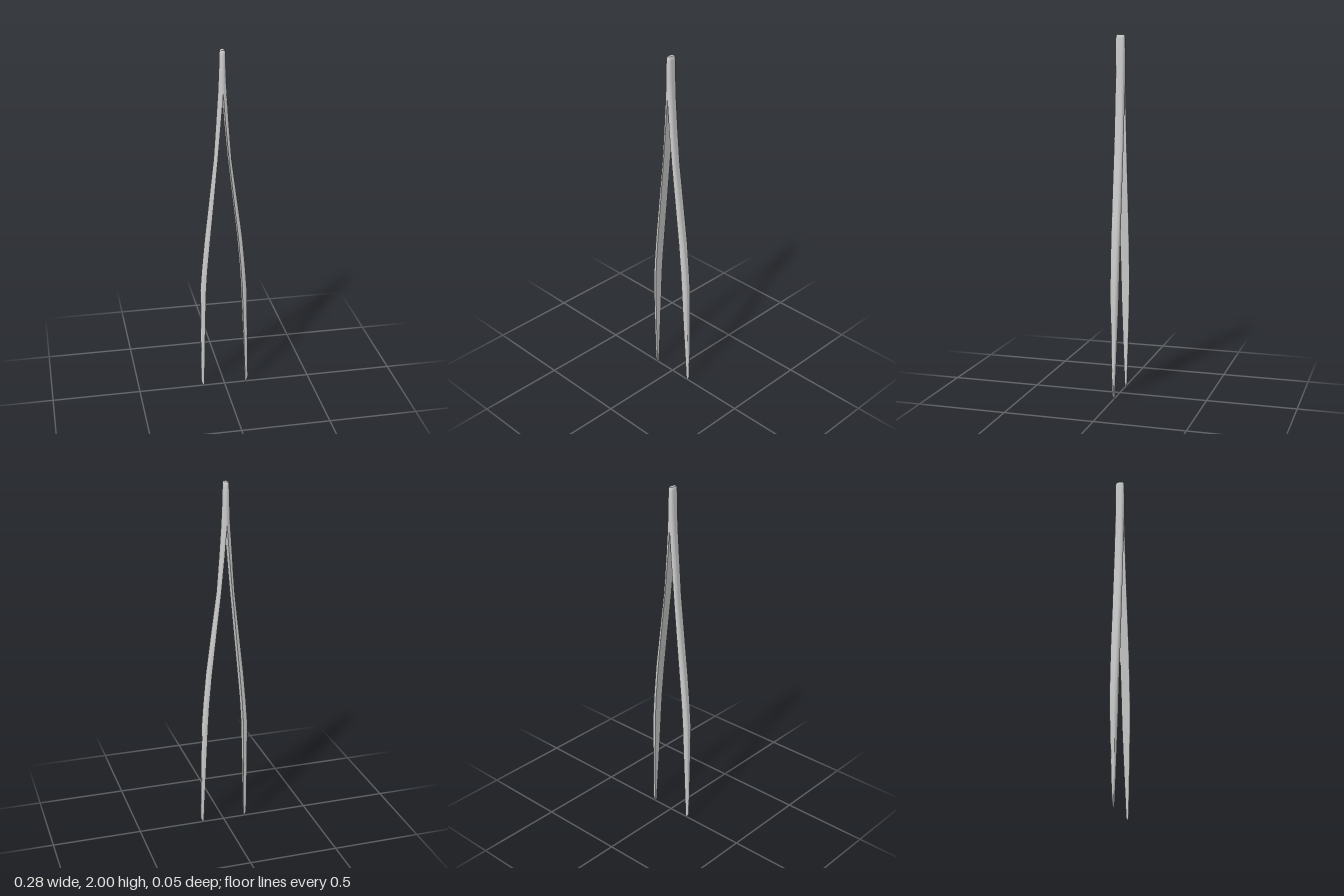
import * as THREE from 'three';
import { toCreasedNormals } from 'three/addons/utils/BufferGeometryUtils.js';

// One arm, tip to top: [y, inner offset, outer offset, half depth, centre drift]
const rows = [
  [0.0, 0.122, 0.134, 0.004, 0],
  [0.015, 0.121, 0.139, 0.006, 0],
  [0.15, 0.118, 0.138, 0.011, -0.001],
  [0.3, 0.114, 0.137, 0.016, -0.003],
  [0.5, 0.108, 0.135, 0.022, -0.005],
  [0.62, 0.104, 0.133, 0.024, -0.006],
  [0.75, 0.096, 0.123, 0.025, -0.006],
  [0.93, 0.08, 0.106, 0.026, -0.006],
  [1.15, 0.057, 0.079, 0.026, -0.008],
  [1.4, 0.031, 0.048, 0.026, -0.011],
  [1.6, 0.013, 0.034, 0.026, -0.012],
  [1.77, 0, 0.023, 0.026, -0.012],
  [1.88, 0, 0.018, 0.026, -0.012],
  [1.98, 0, 0.015, 0.026, -0.012],
  [1.994, 0, 0.0135, 0.0245, -0.012],
  [2.0, 0, 0.01, 0.021, -0.012],
];
const STEPS = 14;

// Loft a D-shaped section (flat inside, rounded outside) along the rows
function armGeometry(side) {
  const n = STEPS + 1, pos = [], idx = [];
  const tri = (a, b, c) => (side > 0 ? idx.push(a, b, c) : idx.push(a, c, b));
  rows.forEach(([y, inner, outer, depth, drift], j) => {
    for (let i = 0; i < n; i++) {
      const a = Math.PI * (i / STEPS - 0.5);
      const c = Math.pow(Math.max(Math.cos(a), 0), 0.7);
      const s = Math.sign(a) * Math.pow(Math.abs(Math.sin(a)), 0.7);
      // the tip is cut at a slant, lowest on the inside
      const slant = j < 2 ? 0.014 * c : 0;
      pos.push(drift + side * (inner + (outer - inner) * c), y + slant, depth * s);
    }
  });
  for (let j = 0; j < rows.length - 1; j++) {
    for (let i = 0; i < n; i++) {
      const k = (i + 1) % n, a = j * n, b = a + n;
      tri(a + i, b + i, a + k);
      tri(a + k, b + i, b + k);
    }
  }
  // end caps
  const top = (rows.length - 1) * n;
  for (let i = 1; i < n - 1; i++) {
    tri(0, i, i + 1);
    tri(top, top + i + 1, top + i);
  }
  const g = new THREE.BufferGeometry();
  g.setAttribute('position', new THREE.Float32BufferAttribute(pos, 3));
  g.setIndex(idx);
  return toCreasedNormals(g, 0.7);
}

export function createModel() {
  const model = new THREE.Group();
  model.name = 'tweezers';
  const material = new THREE.MeshStandardMaterial({ color: 0xcccccc });
  for (const [name, side] of [['leftArm', 1], ['rightArm', -1]]) {
    const arm = new THREE.Mesh(armGeometry(side), material);
    arm.name = name;
    model.add(arm);
  }
  return model;
}
